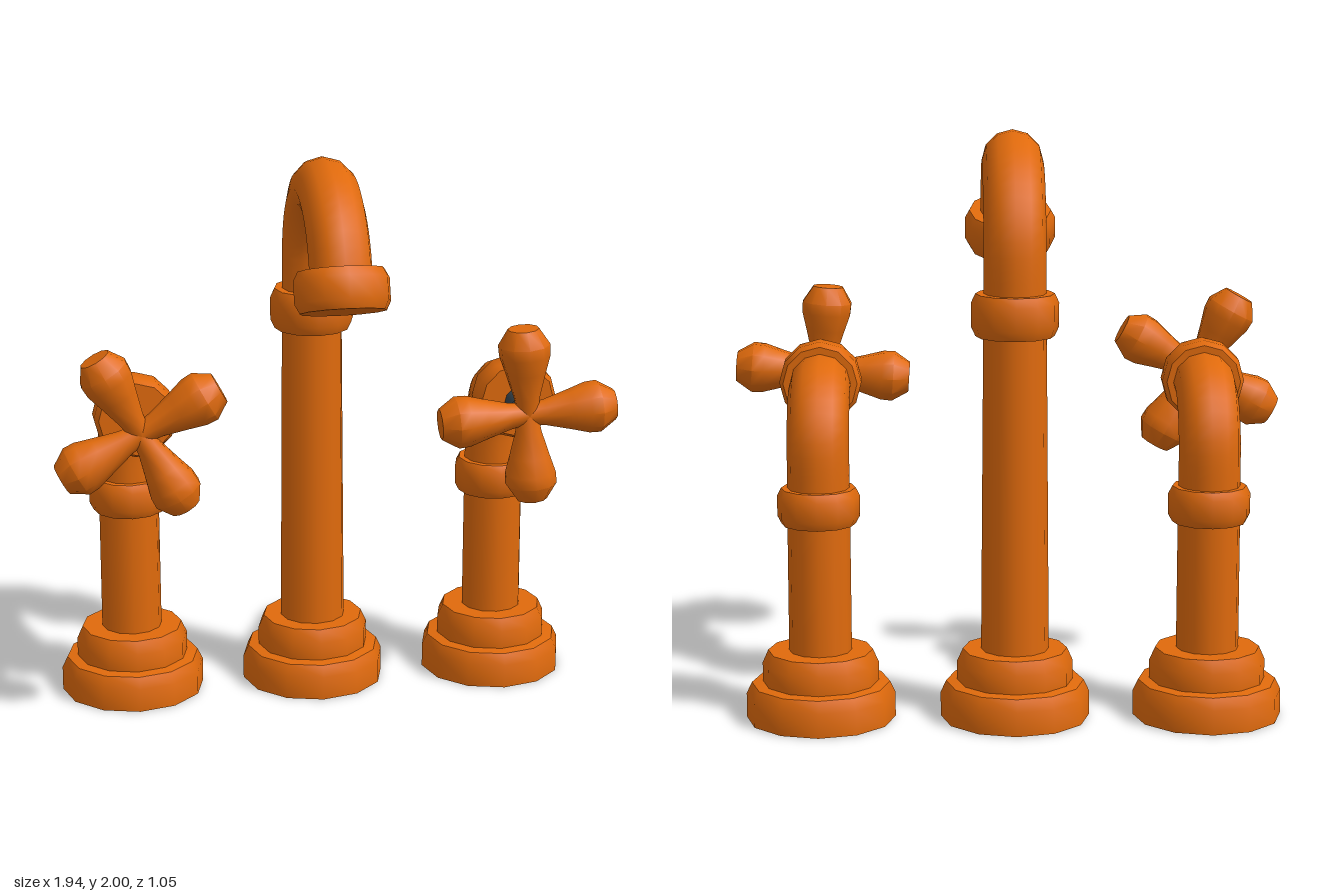
import * as THREE from 'three';
import { toCreasedNormals } from 'three/addons/utils/BufferGeometryUtils.js';

const SIDES = 12;
const POST_Z = -0.267;
const PIPE_R = 0.106;

export function createModel() {
  const copper = new THREE.MeshStandardMaterial({ color: 0xe06a0c });
  copper.name = 'orange copper';
  const steel = new THREE.MeshStandardMaterial({ color: 0x36454f });
  steel.name = 'dark steel';

  const add = (parent, name, geometry, material = copper) => {
    const mesh = new THREE.Mesh(geometry, material);
    mesh.name = name;
    parent.add(mesh);
    return mesh;
  };

  // Turned part from [radius, height] pairs, bottom to top
  const turned = (profile, sides = SIDES) => toCreasedNormals(
    new THREE.LatheGeometry(profile.map(([r, y]) => new THREE.Vector2(r, y)), sides), 0.7);

  // Bevelled ring centred on the origin, axis along y
  const ring = (r, h) => turned([
    [0, -h / 2], [r * 0.9, -h / 2], [r, -h * 0.28], [r, h * 0.28], [r * 0.9, h / 2], [0, h / 2],
  ]);

  // Bent pipe in the yz plane: straight rise, arc over the top, straight end
  const bentPipe = (startY, centreZ, centreY, radius, endAngle, tail, steps) => {
    const points = [new THREE.Vector3(0, startY, centreZ - radius)];
    for (let i = 0; i <= steps; i++) {
      const a = Math.PI + (endAngle - Math.PI) * (i / steps);
      points.push(new THREE.Vector3(0, centreY + radius * Math.sin(a), centreZ + radius * Math.cos(a)));
    }
    const end = points[points.length - 1].clone();
    end.y -= Math.cos(endAngle) * tail;
    end.z += Math.sin(endAngle) * tail;
    points.push(end);
    const path = new THREE.CurvePath();
    for (let i = 1; i < points.length; i++) path.add(new THREE.LineCurve3(points[i - 1], points[i]));
    const smooth = new THREE.CatmullRomCurve3(points, false, 'centripetal');
    return { geometry: new THREE.TubeGeometry(smooth, steps * 2 + 4, PIPE_R, SIDES), end };
  };

  const baseGeometry = turned([
    [0, 0], [0.257, 0], [0.257, 0.085], [0.238, 0.125], [0.2, 0.13],
    [0.2, 0.195], [0.18, 0.24], [0, 0.24],
  ]);

  // Post with stepped base, straight pipe and collar
  const post = (name, x, top, bottomRadius, collarRadius, collarHeight) => {
    const group = new THREE.Group();
    group.name = name;
    group.position.x = x;
    add(group, 'base', baseGeometry).position.z = POST_Z;
    const height = top - 0.22;
    add(group, 'pipe', new THREE.CylinderGeometry(0.107, bottomRadius, height, SIDES, 1, true))
      .position.set(0, 0.22 + height / 2, POST_Z);
    add(group, 'collar', ring(collarRadius, collarHeight)).position.set(0, top, POST_Z);
    return group;
  };

  const model = new THREE.Group();
  model.name = 'tapSet';

  // Central spout with gooseneck and nozzle
  const spout = post('spout', -0.02, 1.403, 0.117, 0.149, 0.145);
  const tilt = THREE.MathUtils.degToRad(20);
  const neck = bentPipe(1.4, 0.043, 1.584, 0.31, tilt, 0.07, 12);
  add(spout, 'gooseneck', neck.geometry);
  const nozzle = add(spout, 'nozzle', ring(0.162, 0.14));
  nozzle.position.set(0, 1.623, 0.363);
  nozzle.rotation.x = -tilt;
  model.add(spout);

  // Flared handle arm, growing from the hub along y
  const armGeometry = turned([
    [0.037, 0], [0.045, 0.06], [0.07, 0.15], [0.088, 0.21], [0.09, 0.25], [0.054, 0.307], [0, 0.307],
  ], 10);

  // Side valves with elbow, outlet collar and cross handle
  const valves = [
    { name: 'rightValve', x: -0.685, turn: 29, stem: false },
    { name: 'leftValve', x: 0.65, turn: 4, stem: true },
  ];
  for (const { name, x, turn, stem } of valves) {
    const valve = post(name, x, 0.748, 0.108, 0.141, 0.125);
    add(valve, 'elbow', bentPipe(0.75, -0.062, 0.92, 0.205, Math.PI / 2, 0.07, 6).geometry);

    const outlet = add(valve, 'outletCollar', ring(0.143, 0.125));
    outlet.rotation.x = Math.PI / 2;
    outlet.position.set(0, 1.127, 0.028);

    if (stem) {
      const rod = add(valve, 'stem', new THREE.CylinderGeometry(0.054, 0.045, 0.12, SIDES), steel);
      rod.rotation.x = Math.PI / 2;
      rod.position.set(0, 1.127, 0.14);
    }

    const handle = new THREE.Group();
    handle.name = 'crossHandle';
    handle.position.set(0, 1.124, 0.237);
    handle.rotation.z = THREE.MathUtils.degToRad(turn);
    for (let i = 0; i < 4; i++) {
      add(handle, 'handleArm', armGeometry).rotation.z = i * Math.PI / 2;
    }
    valve.add(handle);
    model.add(valve);
  }

  return model;
}
